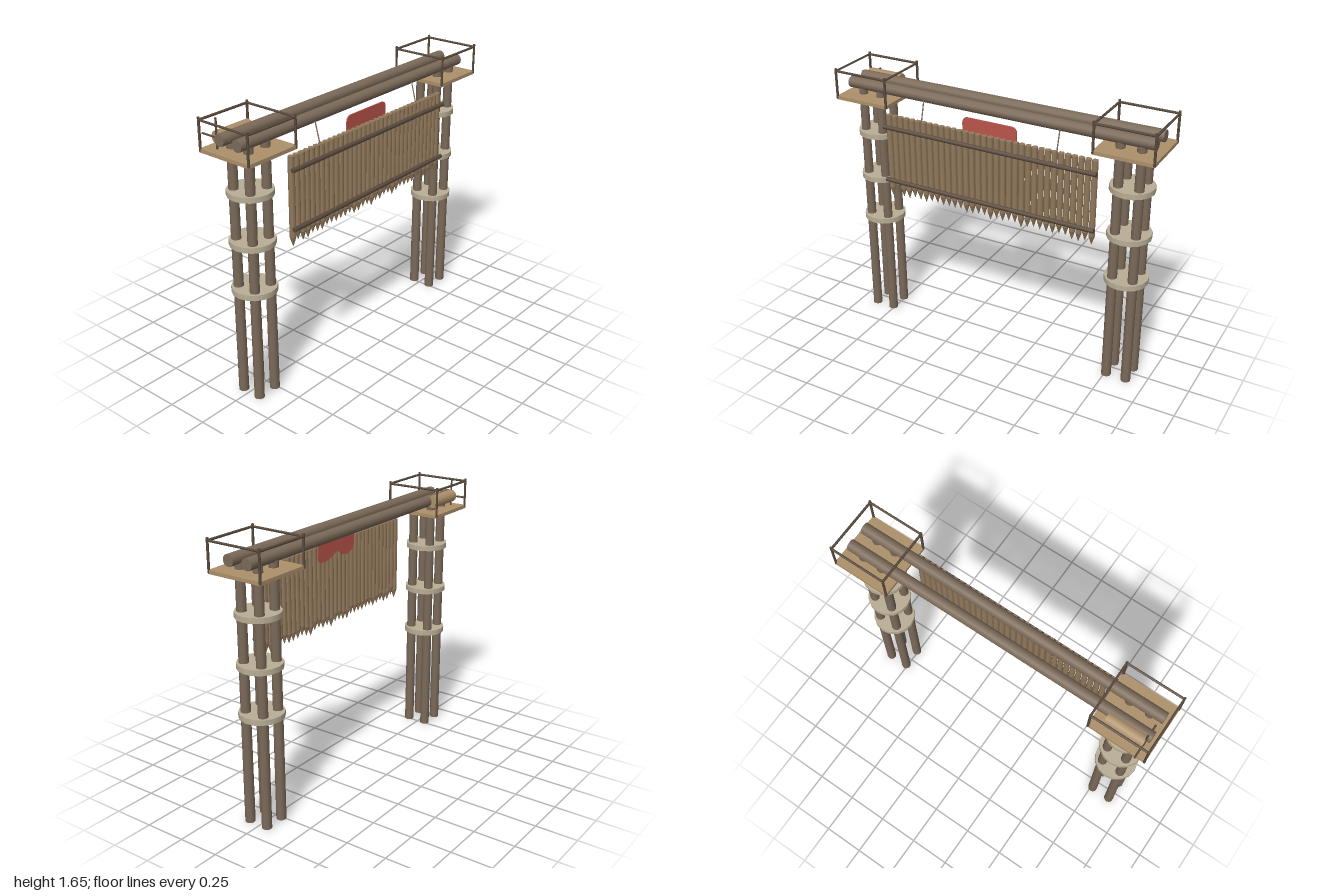
import * as THREE from 'three';

const mat = (name, color) => Object.assign(new THREE.MeshStandardMaterial({ color }), { name });

export function createModel() {
  const model = new THREE.Group();
  model.name = 'gate';
  const logWood = mat('log wood', 0x7b6a59);
  const stakeWood = mat('stake wood', 0x92795c);
  const plankWood = mat('plank wood', 0xad906a);
  const darkWood = mat('dark wood', 0x5a4b3e);
  const ropeFibre = mat('rope fibre', 0x7d6e58);
  const binding = mat('binding', 0xb9ae96);
  const redCloth = mat('red cloth', 0xba544a);
  redCloth.side = THREE.DoubleSide;

  const add = (parent, name, geometry, material) => {
    const mesh = new THREE.Mesh(geometry, material);
    mesh.name = name;
    parent.add(mesh);
    return mesh;
  };
  // Round bar running between two points, r0 at the start and r1 at the end
  const bar = (parent, name, a, b, r0, r1, material, sides = 10) => {
    const from = new THREE.Vector3(...a), to = new THREE.Vector3(...b);
    const dir = to.clone().sub(from);
    const mesh = add(parent, name, new THREE.CylinderGeometry(r1, r0, dir.length(), sides), material);
    mesh.position.copy(from).add(to).multiplyScalar(0.5);
    mesh.quaternion.setFromUnitVectors(new THREE.Vector3(0, 1, 0), dir.normalize());
    return mesh;
  };
  let seed = 7;
  const random = () => (seed = (seed * 16807) % 2147483647) / 2147483647;

  // Two towers: four posts, three bindings, a platform and its railing
  const zMid = 0.013, half = 0.171;
  for (const side of [-1, 1]) {
    const tower = new THREE.Group();
    tower.name = side < 0 ? 'rightTower' : 'leftTower';
    tower.position.set(side * 0.822, 0, zMid);
    model.add(tower);
    for (const sx of [-1, 1]) for (const sz of [-1, 1]) {
      bar(tower, 'post', [sx * 0.062, 0, sz * 0.061], [sx * 0.061, 1.52, sz * 0.061], 0.029, 0.027, logWood);
      bar(tower, 'railingPost', [sx * half, 1.46, sz * half], [sx * half, 1.645, sz * half], 0.0075, 0.0075, darkWood, 6);
    }
    for (const y of [0.66, 0.945, 1.232]) {
      add(tower, 'binding', new THREE.CylinderGeometry(0.128, 0.128, 0.032, 16), binding).position.y = y;
    }
    add(tower, 'platform', new THREE.BoxGeometry(0.35, 0.021, 0.35), plankWood).position.y = 1.466;
    for (const s of [-1, 1]) {
      bar(tower, 'railing', [-half, 1.63, s * half], [half, 1.63, s * half], 0.007, 0.007, darkWood, 6);
      bar(tower, 'railing', [s * half, 1.63, -half], [s * half, 1.63, half], 0.007, 0.007, darkWood, 6);
    }
  }

  // Crossbeams
  for (const z of [0.076, -0.048]) {
    bar(model, 'crossbeam', [-0.965, 1.537, z], [0.965, 1.537, z], 0.034, 0.034, logWood, 12);
  }

  // Winch drum with crossed handles
  const winch = new THREE.Group();
  winch.name = 'winch';
  winch.position.set(-0.943, 1.537, -0.087);
  model.add(winch);
  bar(winch, 'drum', [0, 0, 0], [0.228, 0, 0], 0.038, 0.038, plankWood, 12);
  bar(winch, 'handle', [0, -0.107, 0], [0, 0.107, 0], 0.006, 0.006, darkWood, 6);
  bar(winch, 'handle', [0, 0, -0.105], [0, 0, 0.105], 0.006, 0.006, darkWood, 6);

  // Hanging palisade of pointed stakes
  const palisade = new THREE.Group();
  palisade.name = 'palisade';
  model.add(palisade);
  const count = 34;
  for (let i = 0; i < count; i++) {
    const x = -0.655 + (1.31 * i) / (count - 1);
    const shoulder = 0.942 + random() * 0.03;
    bar(palisade, 'stake', [x, shoulder, 0.15], [x, 1.41, 0.15], 0.0185, 0.0185, stakeWood, 8);
    bar(palisade, 'stakePoint', [x, shoulder - 0.055, 0.15], [x, shoulder, 0.15], 0.001, 0.0185, stakeWood, 8);
  }
  for (const y of [1.34, 1.0]) {
    bar(palisade, 'palisadeRail', [-0.677, y, 0.179], [0.677, y, 0.179], 0.0135, 0.0135, darkWood, 8);
  }
  for (const x of [-0.43, 0.43]) {
    bar(palisade, 'rope', [x, 1.41, 0.152], [x, 1.53, 0.12], 0.0035, 0.0035, ropeFibre, 6);
  }

  // Red cloth with a wavy lower edge, behind the stakes
  const outline = new THREE.Shape();
  outline.moveTo(-0.173, 1.36);
  outline.lineTo(-0.173, 1.45);
  outline.quadraticCurveTo(-0.17, 1.483, -0.14, 1.485);
  outline.lineTo(0.14, 1.485);
  outline.quadraticCurveTo(0.17, 1.483, 0.173, 1.45);
  outline.lineTo(0.173, 1.35);
  outline.bezierCurveTo(0.16, 1.29, 0.06, 1.32, 0.02, 1.345);
  outline.bezierCurveTo(-0.03, 1.37, -0.05, 1.315, -0.09, 1.315);
  outline.quadraticCurveTo(-0.15, 1.315, -0.173, 1.36);
  const cloth = new THREE.ExtrudeGeometry(outline, { depth: 0.007, bevelEnabled: false, curveSegments: 8 });
  add(model, 'cloth', cloth, redCloth).position.z = 0.12;

  return model;
}
